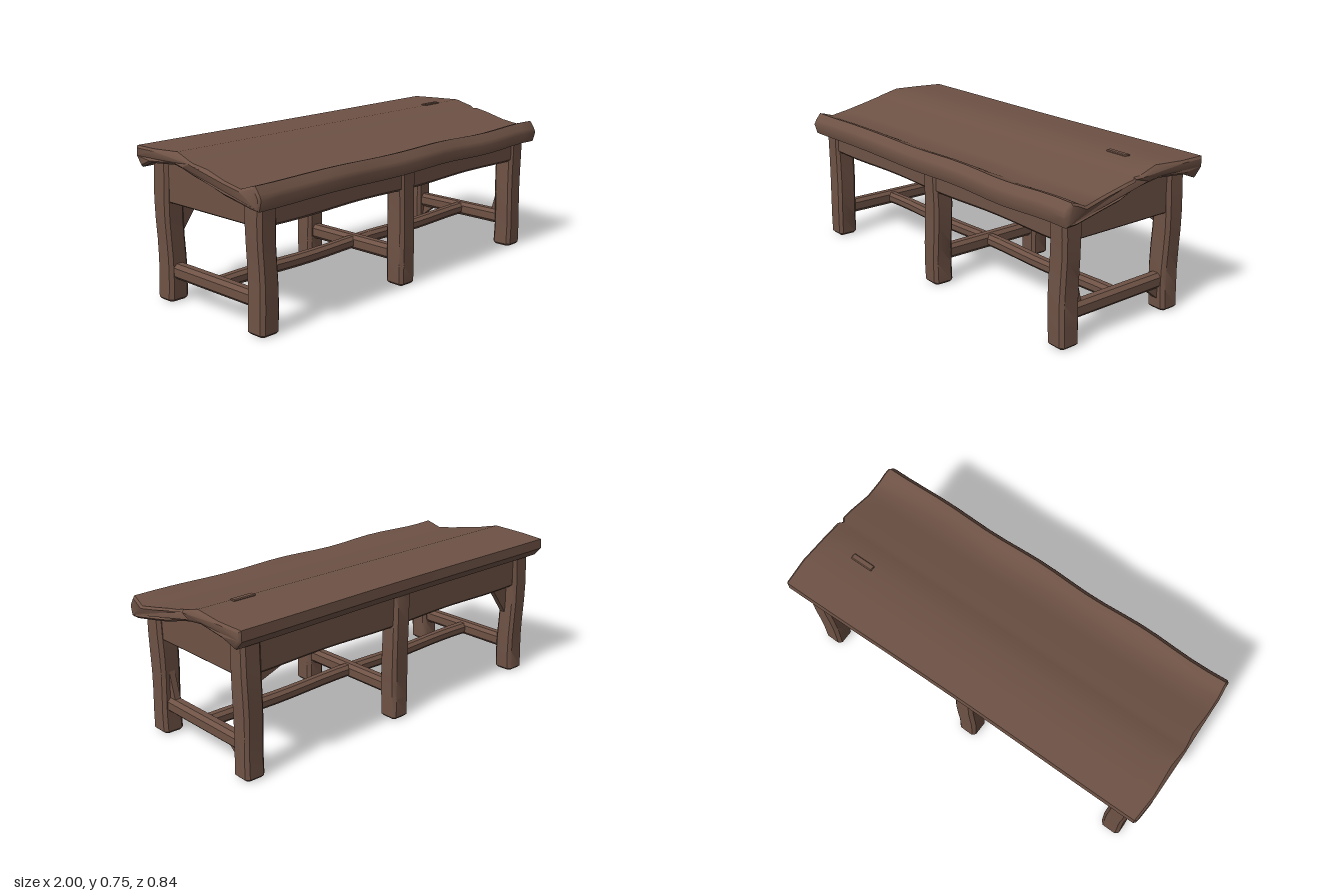
import * as THREE from 'three';
import { toCreasedNormals } from 'three/addons/utils/BufferGeometryUtils.js';

const wood = new THREE.MeshStandardMaterial({ color: 0x6e5245 });
wood.name = 'brown wood';

// Extrudes a section along an axis, then roughens it like hand-hewn timber.
function hewn(name, section, length, axis, position, bevel, rough) {
  const geo = new THREE.ExtrudeGeometry(new THREE.Shape(section.map(p => new THREE.Vector2(...p))), {
    depth: length - 2 * bevel, steps: Math.max(3, Math.round(length * 10)),
    bevelEnabled: true, bevelThickness: bevel, bevelSize: bevel, bevelOffset: -bevel, bevelSegments: 1,
  });
  geo.translate(0, 0, -(length / 2 - bevel));
  if (axis === 'x') geo.rotateY(Math.PI / 2);
  if (axis === 'y') geo.rotateX(-Math.PI / 2);
  geo.translate(...position);
  const pos = geo.attributes.position;
  const v = new THREE.Vector3();
  for (let i = 0; i < pos.count; i++) {
    v.fromBufferAttribute(pos, i);
    rough(v);
    pos.setXYZ(i, v.x, v.y, v.z);
  }
  const mesh = new THREE.Mesh(toCreasedNormals(geo, 0.75), wood);
  mesh.name = name;
  return mesh;
}

// Rectangle with cut corners
function chamfered(w, h, c) {
  const a = w / 2, b = h / 2;
  return [[-a + c, -b], [a - c, -b], [a, -b + c], [a, b - c], [a - c, b], [-a + c, b], [-a, b - c], [-a, -b + c]];
}

// Gentle waviness across each kind of timber
const postRough = v => {
  const { x, y, z } = v;
  v.x += 0.003 * Math.sin(y * 13 + x * 5 + z * 9);
  v.z += 0.003 * Math.sin(y * 11 + x * 7);
};
const railRough = v => {
  v.y += 0.004 * Math.sin(v.x * 8 + v.z * 9 + 1);
};

// Small triangular brace in the x-y plane
function gusset(x, y, dx, dy, z) {
  const points = [[x, y], [x + dx, y], [x, y - dy]];
  const geo = new THREE.ExtrudeGeometry(new THREE.Shape(points.map(p => new THREE.Vector2(...p))), { depth: 0.03, bevelEnabled: false });
  geo.translate(0, 0, z - 0.015);
  const mesh = new THREE.Mesh(geo, wood);
  mesh.name = 'cornerBrace';
  return mesh;
}

export function createModel() {
  const group = new THREE.Group();
  group.name = 'slopedBenchTable';

  // Sloped top with a raised front lip, section given as [-z, y]
  const topSection = [
    [-0.4, 0.578], [-0.35, 0.583], [-0.2, 0.61], [-0.1, 0.632], [0, 0.66], [0.07, 0.678], [0.14, 0.686],
    [0.3, 0.672], [0.375, 0.64], [0.417, 0.685], [0.415, 0.734], [0.28, 0.739], [0.12, 0.747],
    [0.02, 0.72], [0, 0.714], [-0.02, 0.711], [-0.08, 0.7], [-0.2, 0.672], [-0.3, 0.655],
    [-0.345, 0.675], [-0.378, 0.684], [-0.405, 0.65], [-0.415, 0.628],
  ];
  group.add(hewn('slopedTop', topSection, 1.99, 'x', [0, 0, 0], 0.01, v => {
    const { x, z } = v;
    if (Math.abs(x) > 0.9) {
      // ragged ends with a split at the plank joint
      v.x += 0.006 * Math.sin(z * 23 + x);
      if (x > 0) v.x -= 0.02 * Math.exp(-((z / 0.015) ** 2));
    }
    if (z > 0.33) {
      v.y += 0.004 * Math.sin(x * 9) - 0.002;
      v.z += 0.004 * Math.sin(x * 11 + 1);
    }
    if (z < -0.36) v.z += 0.004 * Math.cos(x * 3.2);
  }));

  // Raised splinter on the top
  group.add(hewn('splinter', chamfered(0.03, 0.012, 0.004), 0.12, 'x', [0.75, 0.747, -0.13], 0.003, () => {}));

  // Three frames: front leg, back leg, side apron and low cross rail
  for (const [frame, x] of [['right', -0.892], ['middle', -0.002], ['left', 0.888]]) {
    group.add(hewn(frame + 'FrontLeg', chamfered(0.104, 0.108, 0.016), 0.61, 'y', [x, 0.31, 0.311], 0.012, postRough));
    group.add(hewn(frame + 'BackLeg', chamfered(0.104, 0.104, 0.016), 0.69, 'y', [x, 0.35, -0.318], 0.012, postRough));

    const apron = [[-0.29, 0.482], [0.29, 0.48], [0.29, 0.69], [0.13, 0.695], [0, 0.675], [-0.2, 0.625], [-0.29, 0.6]];
    const side = hewn(frame + 'SideApron', apron, 0.07, 'x', [x, 0, 0], 0.006, () => {});
    group.add(side);
    group.add(hewn(frame + 'CrossRail', chamfered(0.065, 0.074, 0.017), 0.56, 'z', [x, 0.152, -0.004], 0.004, () => {}));
  }

  // Long aprons under the front and back edges
  group.add(hewn('frontApron', chamfered(0.062, 0.13, 0.012), 1.78, 'x', [0, 0.547, 0.322], 0.006, railRough));
  group.add(hewn('backApron', chamfered(0.062, 0.205, 0.012), 1.78, 'x', [0, 0.59, -0.322], 0.006, railRough));

  // Long low stretcher joining the cross rails
  group.add(hewn('longStretcher', chamfered(0.06, 0.06, 0.016), 1.77, 'x', [0, 0.15, 0], 0.004, railRough));

  // Braces in the back corners
  group.add(gusset(-0.845, 0.5, 0.125, 0.17, -0.3));
  group.add(gusset(0.84, 0.5, -0.22, 0.08, -0.3));

  // Wedges where the outer cross rail meets its legs
  for (const [z, y, dz, dy] of [[0.26, 0.185, -0.04, -0.15], [-0.268, 0.12, 0.075, 0.06]]) {
    const wedge = gusset(0, 0, -dz, dy, 0);
    wedge.name = 'railWedge';
    wedge.geometry.rotateY(Math.PI / 2);
    wedge.position.set(0.888, y, z);
    group.add(wedge);
  }

  return group;
}
